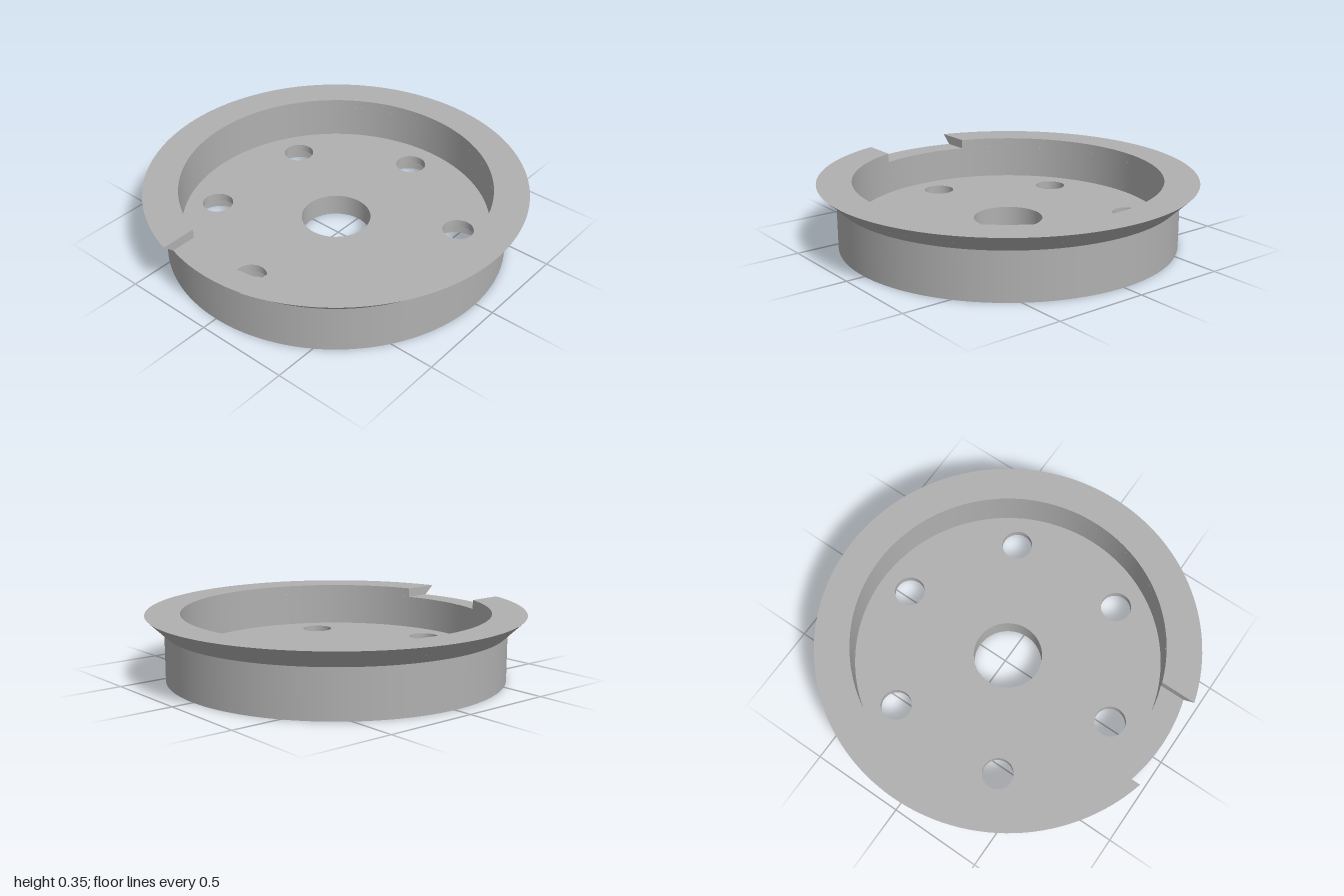
import * as THREE from 'three';
import { mergeGeometries } from 'three/addons/utils/BufferGeometryUtils.js';

const TOP = 0.35, NOTCH_Y = 0.3, CONE_Y = 0.255, FLOOR_Y = 0.12, BORE_Y = 0.08;
const BODY_R = 0.9, RIM_R = 1, NOTCH_R = 0.947, CAVITY_R = 0.817;
const HUB_R = 0.183, BOLT_R = 0.082, BORE_R = 0.135, BOLT_RING = 0.651;
const NOTCH_HALF = 0.256, SEG = 128;

// One turned surface from [r, y] to [r, y]; it faces right of its direction of travel
function band(r0, y0, r1, y1, segments = SEG) {
  return new THREE.LatheGeometry([new THREE.Vector2(r0, y0), new THREE.Vector2(r1, y1)], segments);
}

// The same, but trimmed by the notch planes z = +-NOTCH_HALF on the -x side
function notchedBand(r0, y0, r1, y1, insideNotch = false) {
  const segments = insideNotch ? 16 : SEG;
  const g = band(r0, y0, r1, y1, segments);
  const p = g.attributes.position;
  for (let i = 0; i <= segments; i++) {
    [[r0, y0], [r1, y1]].forEach(([r, y], j) => {
      const a = Math.asin(NOTCH_HALF / r);
      const start = insideNotch ? -a : a;
      const sweep = insideNotch ? 2 * a : 2 * (Math.PI - a);
      const phi = -Math.PI / 2 + start + sweep * i / segments;
      p.setXYZ(i * 2 + j, r * Math.sin(phi), y, r * Math.cos(phi));
    });
  }
  g.computeVertexNormals();
  return g;
}

function circlePoints(r, cx = 0, cy = 0, n = SEG) {
  return Array.from({ length: n }, (_, i) => {
    const a = 2 * Math.PI * i / n;
    return new THREE.Vector2(cx + r * Math.cos(a), cy + r * Math.sin(a));
  });
}

const boltCentres = Array.from({ length: 6 }, (_, i) => {
  const a = i * Math.PI / 3;
  return [BOLT_RING * Math.cos(a), BOLT_RING * Math.sin(a)];
});

// Flat disc with the hub hole and six bolt holes
function drilledDisc(radius, holeRadius, y, up) {
  const shape = new THREE.Shape(circlePoints(radius));
  shape.holes.push(new THREE.Path(circlePoints(HUB_R, 0, 0, 64)));
  boltCentres.forEach(([x, z]) => shape.holes.push(new THREE.Path(circlePoints(holeRadius, x, z, 48))));
  return new THREE.ShapeGeometry(shape).rotateX(up ? -Math.PI / 2 : Math.PI / 2).translate(0, y, 0);
}

// End face of the rim at the notch, drawn on the side given by sign
function notchEnd(sign) {
  const at = (r, y) => new THREE.Vector2(sign * Math.sqrt(r * r - NOTCH_HALF ** 2), y);
  const shape = new THREE.Shape([at(CAVITY_R, NOTCH_Y), at(NOTCH_R, NOTCH_Y), at(RIM_R, TOP), at(CAVITY_R, TOP)]);
  return new THREE.ShapeGeometry(shape).translate(0, 0, -NOTCH_HALF);
}

export function createModel() {
  const model = new THREE.Group();
  model.name = 'flangedCup';
  const grey = new THREE.MeshStandardMaterial({ color: 0xb0b0b0 });
  grey.name = 'grey';
  const add = (name, ...parts) => {
    const mesh = new THREE.Mesh(parts.length > 1 ? mergeGeometries(parts) : parts[0], grey);
    mesh.name = name;
    model.add(mesh);
    return mesh;
  };

  // Cup: outer wall, cavity wall, floor and underside
  add('outerWall', band(BODY_R, 0, BODY_R, CONE_Y));
  add('cavityWall', band(CAVITY_R, NOTCH_Y, CAVITY_R, FLOOR_Y));
  add('cavityFloor', drilledDisc(CAVITY_R, BOLT_R, FLOOR_Y, true));
  add('underside', drilledDisc(BODY_R, BORE_R, 0, false));
  add('hubHole', band(HUB_R, FLOOR_Y, HUB_R, 0, 64));

  // Flared rim, interrupted by the notch above NOTCH_Y
  add('flareLower', band(BODY_R, CONE_Y, NOTCH_R, NOTCH_Y));
  add('flareUpper', notchedBand(NOTCH_R, NOTCH_Y, RIM_R, TOP));
  add('rimTop', notchedBand(RIM_R, TOP, CAVITY_R, TOP));
  add('rimInnerWall', notchedBand(CAVITY_R, TOP, CAVITY_R, NOTCH_Y));
  add('notchFloor', notchedBand(NOTCH_R, NOTCH_Y, CAVITY_R, NOTCH_Y, true));
  add('notchEnds', notchEnd(-1), notchEnd(1).rotateY(Math.PI));

  // Bolt holes, counterbored from below
  boltCentres.forEach(([x, z]) => {
    add('boltHole',
      band(BOLT_R, FLOOR_Y, BOLT_R, BORE_Y, 48),
      band(BOLT_R, BORE_Y, BORE_R, BORE_Y, 48),
      band(BORE_R, BORE_Y, BORE_R, 0, 48)).position.set(x, 0, z);
  });

  // Centre the notched outline on x = 0
  model.children.forEach((part) => { part.position.x -= 0.017; });
  return model;
}
